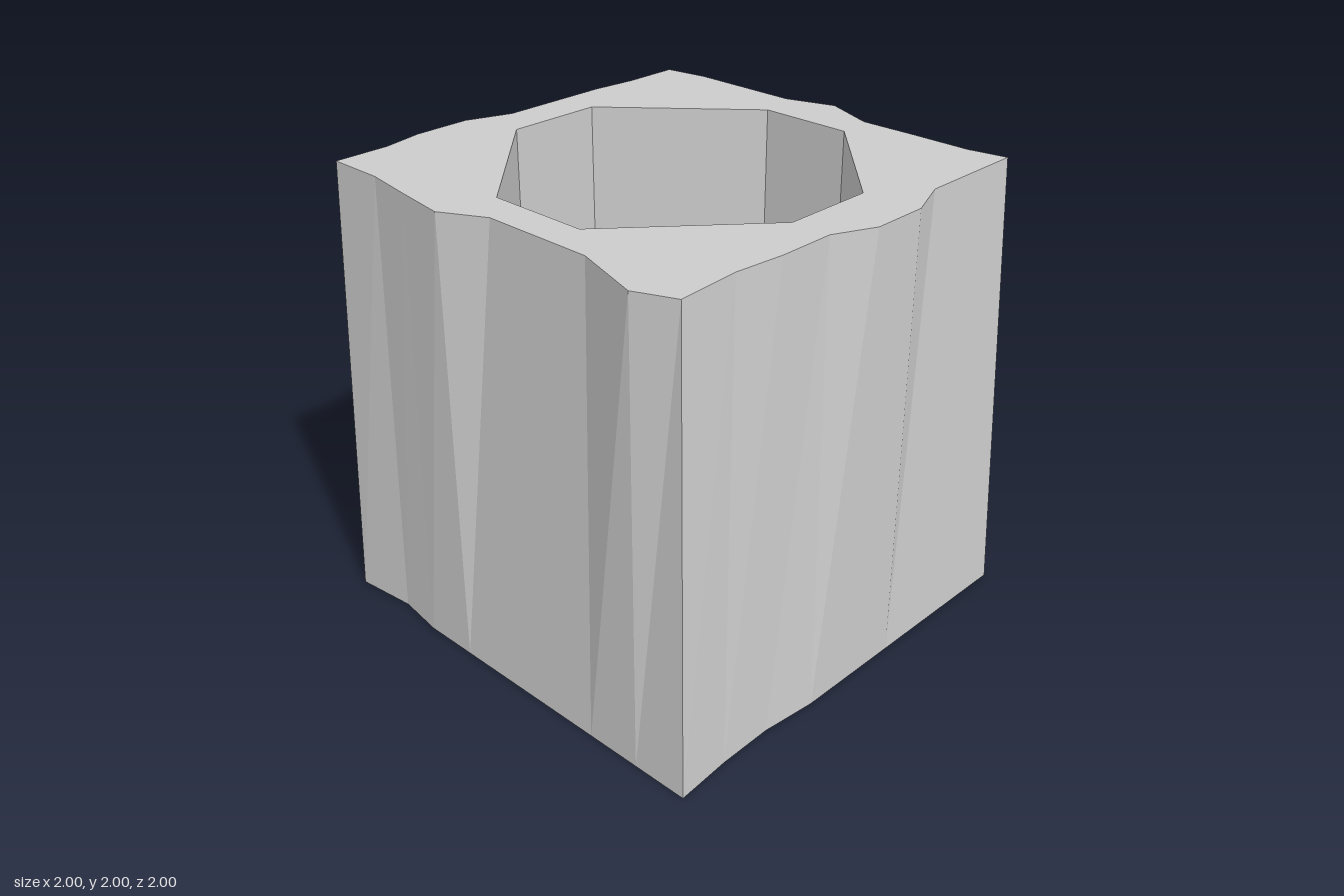
import * as THREE from 'three';

const FLOOR = 1.0;

// Outlines as [x, z], clockwise seen from above, starting at the back right-hand corner (-x, -z)
const baseOutline = [
  [-0.98, -0.945], [-0.75, -1], [-0.25, -1], [0, -1], [0.25, -1], [0.5, -0.96], [0.75, -0.96],
  [1, -1], [1, -0.5], [1, -0.25], [1, 0], [1, 0.25], [0.975, 0.5], [0.98, 0.75],
  [1, 1], [0.75, 1], [0.5, 1], [0, 1], [-0.25, 1], [-0.5, 1], [-0.72, 0.97],
  [-1, 1], [-1, 0.75], [-1, 0.5], [-1, 0.25], [-1, 0], [-1, -0.5], [-0.98, -0.7],
];
const topOutline = [
  [-0.91, -0.9], [-0.72, -0.93], [-0.22, -0.93], [0, -1], [0.23, -0.91], [0.49, -0.915], [0.75, -0.915],
  [0.92, -0.945], [0.92, -0.45], [1, -0.25], [1, 0], [0.92, 0.18], [0.92, 0.43], [0.9, 0.65],
  [0.92, 0.93], [0.75, 1], [0.44, 0.9], [-0.06, 0.9], [-0.25, 1], [-0.49, 0.965], [-0.71, 0.93],
  [-0.965, 0.93], [-0.965, 0.68], [-1, 0.5], [-1, 0.25], [-0.93, 0.05], [-0.93, -0.45], [-0.91, -0.65],
];
const pitOutline = [
  [-0.17, -0.75], [0.25, -0.75], [0.75, -0.23], [0.75, 0.18],
  [0.25, 0.75], [-0.2, 0.75], [-0.75, 0.18], [-0.75, -0.25],
];
const crossOutline = [
  [-0.03, -0.14], [0.42, -0.58], [0.59, -0.4], [0.155, 0.04], [0.53, 0.42], [0.36, 0.61],
  [-0.03, 0.22], [-0.37, 0.57], [-0.55, 0.39], [-0.205, 0.04], [-0.61, -0.37], [-0.42, -0.53],
];

// Flat horizontal face, facing up or down
function cap(outline, y, { hole = null, up = true } = {}) {
  const s = up ? -1 : 1;
  const toPoints = (pts) => pts.map(([x, z]) => new THREE.Vector2(x, s * z));
  const shape = new THREE.Shape(toPoints(outline));
  if (hole) shape.holes.push(new THREE.Path(toPoints(hole)));
  return new THREE.ShapeGeometry(shape).rotateX(s * Math.PI / 2).translate(0, y, 0);
}

// Faceted wall joining a lower outline to an upper one
function wall(lower, y0, upper, y1) {
  const pos = [];
  lower.forEach(([x, z], i) => {
    const j = (i + 1) % lower.length;
    const a = [x, y0, z], b = [lower[j][0], y0, lower[j][1]];
    const c = [upper[i][0], y1, upper[i][1]], d = [upper[j][0], y1, upper[j][1]];
    pos.push(...a, ...c, ...b, ...b, ...c, ...d);
  });
  const geo = new THREE.BufferGeometry();
  geo.setAttribute('position', new THREE.Float32BufferAttribute(pos, 3));
  geo.computeVertexNormals();
  return geo;
}

export function createModel() {
  const group = new THREE.Group();
  group.name = 'hollowStoneBlock';
  const stone = new THREE.MeshStandardMaterial({ color: 0xcccccc, flatShading: true });
  const dark = new THREE.MeshStandardMaterial({ color: 0x555555, flatShading: true });

  const add = (name, geometry, material = stone) => {
    const mesh = new THREE.Mesh(geometry, material);
    mesh.name = name;
    group.add(mesh);
  };

  // Rough-hewn tapering block
  add('outerWall', wall(baseOutline, 0, topOutline, 2));
  add('base', cap(baseOutline, 0, { up: false }));
  add('topRim', cap(topOutline, 2, { hole: pitOutline }));

  // Eight-sided pit with a dark cross on its floor
  const inward = [...pitOutline].reverse();
  add('pitWall', wall(inward, FLOOR, inward, 2));
  add('pitFloor', cap(pitOutline, FLOOR, { hole: crossOutline }));
  add('floorCross', cap(crossOutline, FLOOR), dark);

  return group;
}
